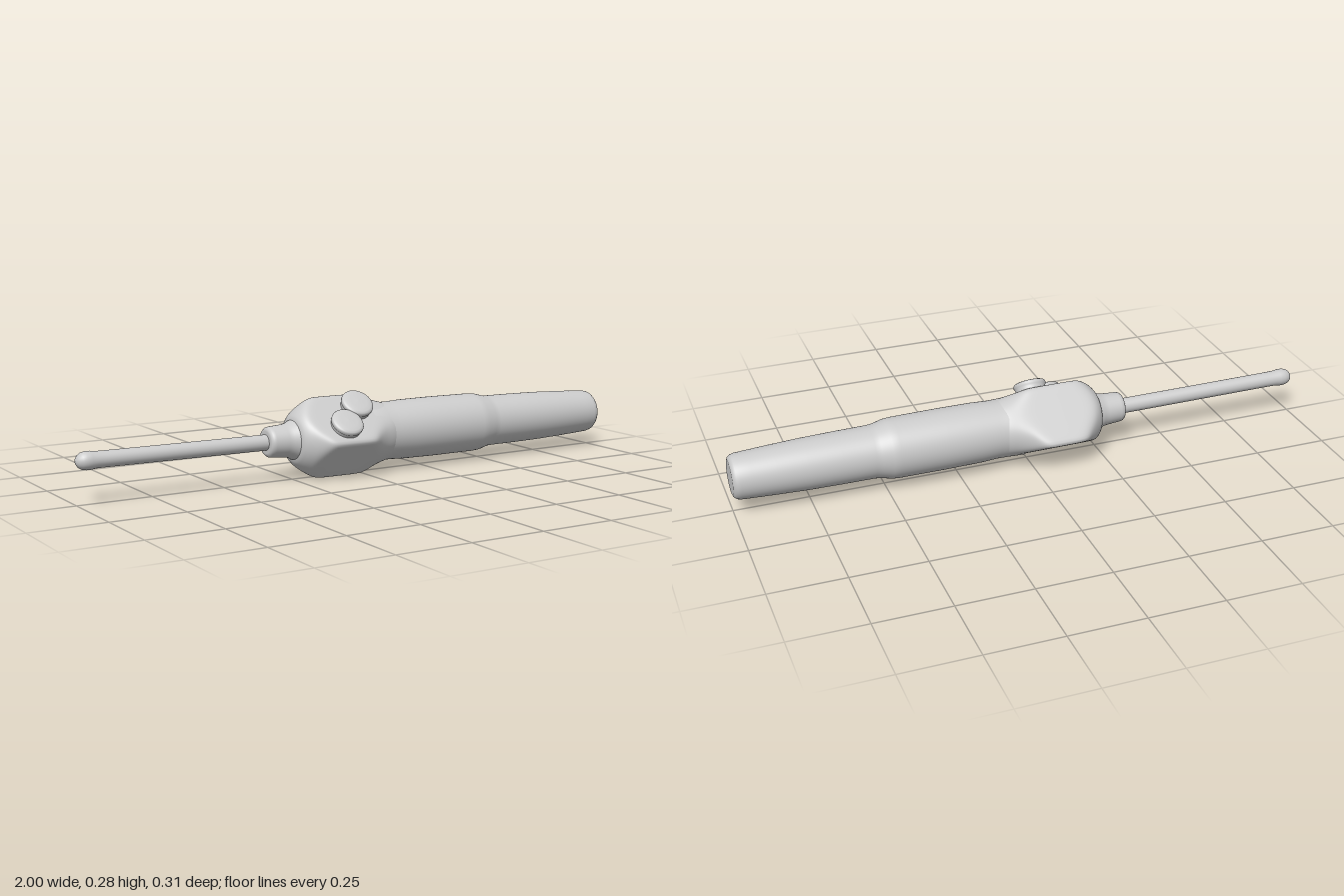
import * as THREE from 'three';

const material = new THREE.MeshStandardMaterial({ color: 0xcccccc });

// Solid of revolution about the x axis from [x, radius] pairs
function turned(name, profile, segments = 64) {
  const points = profile.map(([x, r]) => new THREE.Vector2(r, x));
  const geometry = new THREE.LatheGeometry(points, segments).rotateZ(-Math.PI / 2);
  const mesh = new THREE.Mesh(geometry, material);
  mesh.name = name;
  return mesh;
}

// Housing: a rounded four-sided prism trimmed by a turned envelope
function housing() {
  const corners = [[0.155, 0], [-0.01, 0.14], [-0.166, -0.015], [0.035, -0.136]]; // [z, y]
  const faces = corners.map(([z, y], i) => {
    const [z2, y2] = corners[(i + 1) % 4];
    const length = Math.hypot(z2 - z, y2 - y);
    const nz = (y2 - y) / length, ny = (z - z2) / length;
    return { nz, ny, d: nz * z + ny * y };
  });
  const envelope = new THREE.SplineCurve([
    [-0.256, 0.03], [-0.25, 0.068], [-0.238, 0.088], [-0.215, 0.11], [-0.185, 0.136],
    [-0.15, 0.17], [-0.11, 0.2], [-0.06, 0.2], [-0.02, 0.16], [0.015, 0.13],
    [0.05, 0.112], [0.09, 0.1], [0.12, 0.09],
  ].map(([x, r]) => new THREE.Vector2(x, r)));

  const rings = 60, sides = 128, power = 15;
  const positions = [], indices = [];
  for (let i = 0; i <= rings; i++) {
    const { x, y: limit } = envelope.getPoint(i / rings);
    for (let j = 0; j < sides; j++) {
      const a = (j / sides) * Math.PI * 2;
      const c = Math.cos(a), s = Math.sin(a);
      let sum = Math.pow(0.1 / limit, power);
      for (const f of faces) sum += Math.pow(0.1 * Math.max(0, f.nz * c + f.ny * s) / f.d, power);
      const r = 0.1 * Math.pow(sum, -1 / power);
      positions.push(x, r * s, r * c);
      if (i < rings) {
        const p = i * sides + j, q = i * sides + ((j + 1) % sides);
        indices.push(p, p + sides, q, q, p + sides, q + sides);
      }
    }
  }
  const geometry = new THREE.BufferGeometry();
  geometry.setAttribute('position', new THREE.Float32BufferAttribute(positions, 3));
  geometry.setIndex(indices);
  geometry.computeVertexNormals();
  const mesh = new THREE.Mesh(geometry, material);
  mesh.name = 'housing';
  return mesh;
}

// Round push button standing on the sloping upper front face
function button(name, x, y, z) {
  const profile = [[0.051, -0.07], [0.051, -0.022], [0.055, -0.017], [0.055, -0.009],
    [0.052, -0.004], [0.045, -0.001], [0.03, 0.001], [0, 0.002]];
  const geometry = new THREE.LatheGeometry(profile.map(([r, h]) => new THREE.Vector2(r, h)), 40);
  const mesh = new THREE.Mesh(geometry, material);
  mesh.name = name;
  mesh.position.set(x, y, z);
  mesh.rotation.x = 0.68;
  return mesh;
}

export function createModel() {
  const model = new THREE.Group();
  model.name = 'handheldProbe';

  const body = new THREE.Group();
  body.name = 'body';
  body.position.y = 0.133;
  body.rotation.z = -0.007;
  model.add(body);

  // Stepped, tapering handle with a rounded butt
  body.add(turned('handle', [
    [-0.02, 0.09], [0.03, 0.101], [0.08, 0.099], [0.12, 0.098], [0.18, 0.101], [0.3, 0.102],
    [0.46, 0.101], [0.485, 0.099], [0.52, 0.09], [0.54, 0.088], [0.65, 0.087], [0.76, 0.085],
    [0.86, 0.081], [0.94, 0.077], [0.975, 0.075], [0.988, 0.072], [0.996, 0.066],
    [1, 0.056], [1, 0.054], [1, 0],
  ]));

  body.add(housing());

  // Collar between housing and rod
  body.add(turned('collar', [
    [-0.348, 0], [-0.348, 0.036], [-0.346, 0.044], [-0.34, 0.049], [-0.33, 0.051],
    [-0.285, 0.054], [-0.268, 0.057], [-0.255, 0.064], [-0.24, 0.068],
  ]));

  // Slim rod with a slightly swollen round tip
  body.add(turned('rod', [
    [-1, 0], [-0.998, 0.01], [-0.992, 0.019], [-0.982, 0.026], [-0.968, 0.029],
    [-0.952, 0.029], [-0.935, 0.0265], [-0.9, 0.026], [-0.6, 0.026], [-0.33, 0.026],
  ], 32));

  model.add(button('upperButton', -0.033, 0.254, 0.063));
  model.add(button('lowerButton', -0.104, 0.204, 0.118));
  return model;
}
